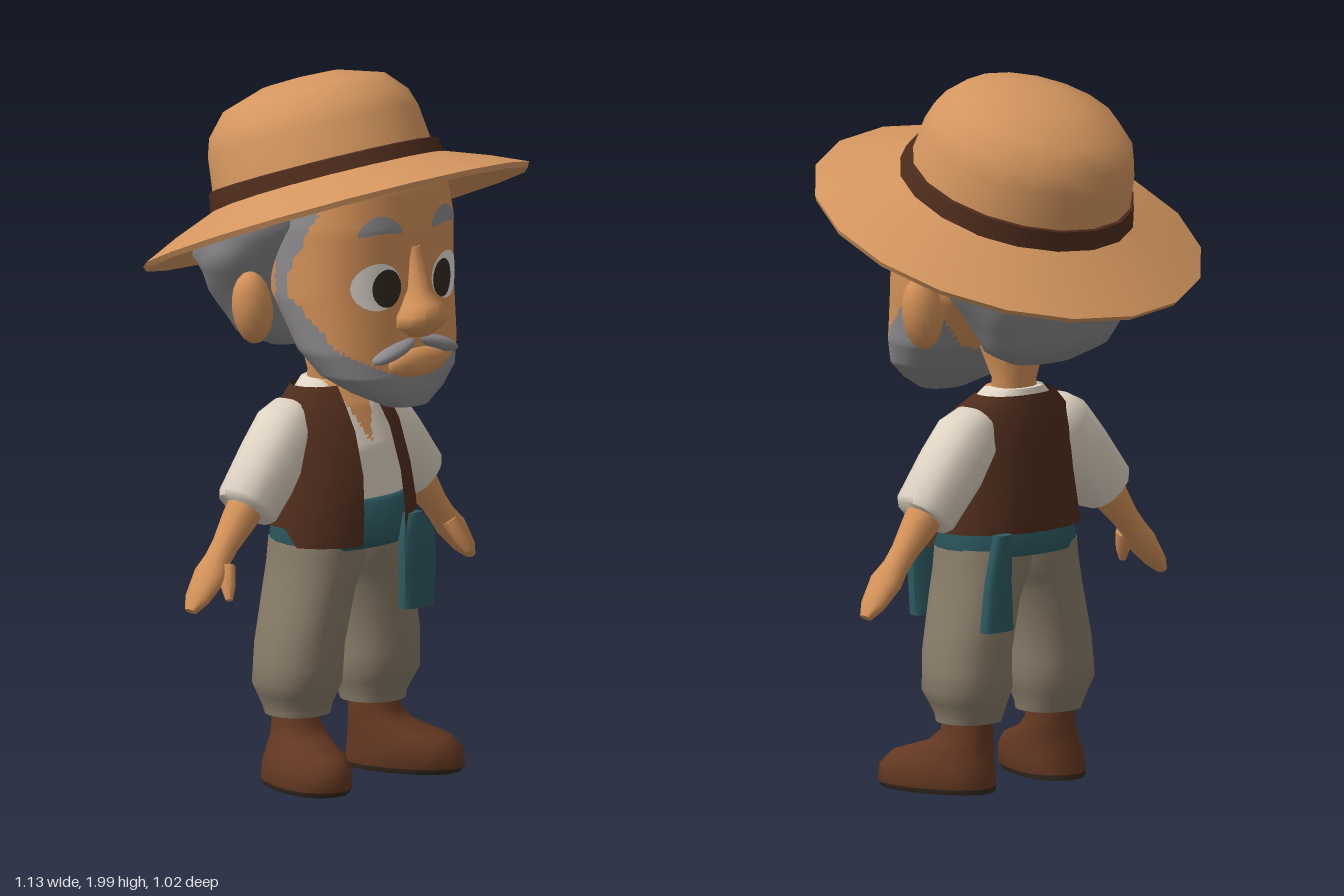
import * as THREE from 'three';
import { toCreasedNormals } from 'three/addons/utils/BufferGeometryUtils.js';

const mat = (name, color, side = THREE.FrontSide) => {
  const m = new THREE.MeshStandardMaterial({ color, side });
  m.name = name;
  return m;
};

// Linear blend of rings [y, halfWidth, zFront, zBack, xCentre] at height y
function ringAt(rings, y) {
  let i = 0;
  while (i < rings.length - 2 && y > rings[i + 1][0]) i++;
  const a = rings[i], b = rings[i + 1];
  const t = THREE.MathUtils.clamp((y - a[0]) / (b[0] - a[0]), 0, 1);
  return [0, 1, 2, 3, 4].map(k => (a[k] ?? 0) + ((b[k] ?? 0) - (a[k] ?? 0)) * t);
}

// Skin of rounded cross-sections stacked upwards; open = half angle left open at the front
function loft(rings, { seg = 16, sub = 1, p = 2.3, open = 0, warp = null, crease = 1 } = {}) {
  const pos = [], idx = [], rows = (rings.length - 1) * sub + 1;
  const add = v => { if (warp) warp(v); pos.push(v.x, v.y, v.z); };
  const pw = v => Math.sign(v) * Math.abs(v) ** (2 / p);
  for (let r = 0; r < rows; r++) {
    const i = Math.min(Math.floor(r / sub), rings.length - 2), f = r / sub - i;
    const [y, w, zf, zb, c] = ringAt(rings, rings[i][0] + (rings[i + 1][0] - rings[i][0]) * f);
    for (let j = 0; j <= seg; j++) {
      const t = open + (Math.PI * 2 - open * 2) * (j / seg);
      add(new THREE.Vector3(c + w * pw(Math.sin(t)), y, (zf + zb) / 2 + (zf - zb) / 2 * pw(Math.cos(t))));
    }
  }
  const n = seg + 1;
  for (let r = 0; r < rows - 1; r++) for (let j = 0; j < seg; j++) {
    const a = r * n + j;
    idx.push(a, a + 1, a + n + 1, a, a + n + 1, a + n);
  }
  if (!open) [0, rows - 1].forEach((r, top) => {
    const [y, , zf, zb, c] = ringAt(rings, rings[top ? rings.length - 1 : 0][0]);
    const m = pos.length / 3;
    add(new THREE.Vector3(c, y, (zf + zb) / 2));
    for (let j = 0; j < seg; j++) {
      const a = r * n + j;
      top ? idx.push(m, a, a + 1) : idx.push(m, a + 1, a);
    }
  });
  const g = new THREE.BufferGeometry();
  g.setAttribute('position', new THREE.Float32BufferAttribute(pos, 3));
  g.setIndex(idx);
  return toCreasedNormals(g, crease);
}

// Sort triangles into material groups by the rule(centre) => material index
function paint(geo, count, rule) {
  const P = geo.attributes.position, lists = Array.from({ length: count }, () => []);
  const c = new THREE.Vector3(), v = new THREE.Vector3();
  for (let i = 0; i < P.count; i += 3) {
    c.set(0, 0, 0);
    for (let k = 0; k < 3; k++) c.addScaledVector(v.fromBufferAttribute(P, i + k), 1 / 3);
    lists[rule(c)].push(i, i + 1, i + 2);
  }
  geo.setIndex(lists.flat());
  let start = 0;
  lists.forEach((l, k) => { geo.addGroup(start, l.length, k); start += l.length; });
  return geo;
}

export function createModel() {
  const skin = mat('skin', 0xd39158), straw = mat('straw', 0xd4965f), hair = mat('greyHair', 0x8c8a8c);
  const brown = mat('darkBrown', 0x4e2c1c, THREE.DoubleSide), linen = mat('linen', 0xdfd3c3);
  const teal = mat('teal', 0x2d5a61), khaki = mat('khaki', 0x897c69), leather = mat('leather', 0x643822);
  const dark = mat('dark', 0x34291f), white = mat('eyeWhite', 0xe4ddd4);
  const model = new THREE.Group();
  const mesh = (name, geo, m, parent = model) => {
    const o = new THREE.Mesh(geo, m);
    o.name = name;
    parent.add(o);
    return o;
  };
  const ball = (name, m, p, s, rz = 0) => {
    const o = mesh(name, new THREE.SphereGeometry(1, 14, 10), m);
    o.position.set(...p); o.scale.set(...s); o.rotation.z = rz;
  };

  // Head with beard and sideburns
  const headP = 2.35;
  const headRings = [[1.09, .07, .32, .22], [1.13, .15, .33, .14], [1.18, .22, .33, .07], [1.25, .255, .32, 0],
    [1.4, .275, .31, -.1], [1.6, .275, .31, -.12], [1.7, .26, .295, -.12], [1.8, .21, .24, -.1]];
  mesh('head', paint(loft(headRings, { seg: 80, sub: 9, p: headP }), 2, c => {
    if (c.z < .02) return 0;
    const beardTop = 1.18 + 1.5 * c.x * c.x + Math.max(0, .24 - c.z) * .75;
    return c.y < beardTop || (c.z < .08 + Math.max(0, c.y - 1.45) * .5 && c.y > 1.3) ? 1 : 0;
  }), [skin, hair]);
  const faceZ = (x, y) => {
    const [, w, zf, zb] = ringAt(headRings, y);
    return (zf + zb) / 2 + (zf - zb) / 2 * Math.max(0, 1 - Math.abs(x / w) ** headP) ** (1 / headP);
  };
  // Thin plate following the face
  const decal = (name, m, cx, cy, rx, ry, lift, arch = 0) => {
    const g = new THREE.RingGeometry(0, 1, 20, 4), P = g.attributes.position;
    for (let i = 0; i < P.count; i++) {
      const u = P.getX(i), x = cx + rx * u, y = cy + ry * P.getY(i) - arch * u * u;
      P.setXYZ(i, x, y, faceZ(x, y) + lift);
    }
    g.computeVertexNormals();
    mesh(name, g, m);
  };
  for (const s of [1, -1]) {
    decal('eye', white, s * .135, 1.44, .074, .067, .004);
    decal('pupil', dark, s * .11, 1.435, .046, .054, .008);
    decal('eyebrow', hair, s * .125, 1.615, .068, .025, .007, .025);
    ball('ear', skin, [s * .328, 1.37, -.003], [.06, .104, .055], -s * .15);
    ball('moustache', hair, [s * .085, 1.255, .305], [.085, .022, .036], -s * .3);
  }
  ball('lip', skin, [0, 1.213, .312], [.115, .044, .036]);
  mesh('nose', loft([[1.29, .035, .35, .26], [1.32, .08, .385, .25], [1.35, .08, .4, .25], [1.385, .055, .39, .25],
    [1.42, .034, .35, .25], [1.54, .024, .318, .25]], { seg: 12 }), skin);
  mesh('neck', loft([[1.03, .075, .05, -.08], [1.15, .065, .03, -.075], [1.32, .13, .08, -.1]]), skin);

  // Bumpy hair around the back of the head, pressed flat under the hat
  mesh('hair', loft([[1.215, .11, -.09, -.19], [1.26, .21, -.06, -.255], [1.38, .29, -.01, -.31],
    [1.48, .35, .06, -.33], [1.6, .365, .15, -.31], [1.7, .32, .18, -.25]], {
    seg: 32, sub: 3, warp: v => {
      const k = 1 + .025 * Math.sin(v.x * 34 + v.y * 27) * Math.cos(v.z * 31 - v.y * 22);
      v.x *= k; v.z *= k;
      v.y = Math.min(v.y, 1.637 + v.z * .354);
    } }), hair);

  // Tilted hat
  const hat = new THREE.Group();
  hat.name = 'hat';
  hat.position.set(0, 1.67, -.03);
  hat.rotation.x = -.34;
  model.add(hat);
  const lathe = (name, pts, m) =>
    mesh(name, toCreasedNormals(new THREE.LatheGeometry(pts.map(q => new THREE.Vector2(...q)), 18), .9), m, hat);
  const brim = lathe('brim', [[.2, -.01], [.33, -.02], [.45, -.065], [.541, -.105], [.548, -.09], [.45, -.045], [.32, .005]], straw);
  brim.scale.x = 1.035;
  brim.rotation.x = -.03;
  const crown = lathe('crown', [[.325, -.01], [.312, .06], [.302, .15], [.286, .2], [.232, .26], [.11, .298], [0, .304]], straw);
  crown.position.z = -.006;
  lathe('hatBand', [[.338, -.005], [.328, .05], [.3, .056]], brown);

  // Shirt with open neck, waistcoat and sash
  mesh('shirt', paint(loft([[.7, .18, .16, -.12], [.8, .19, .165, -.12], [.95, .175, .145, -.12],
    [1.06, .16, .095, -.11], [1.13, .085, .045, -.09]], { seg: 96, sub: 10 }), 2,
    c => (c.z > 0 && c.y > .955 + Math.abs(c.x) * 2.4 ? 1 : 0)), [linen, skin]);
  mesh('waistcoat', loft([[.685, .235, .198, -.15], [.78, .225, .198, -.15], [.88, .207, .188, -.143],
    [1, .19, .15, -.135], [1.07, .175, .105, -.12], [1.115, .125, .055, -.105]],
    { seg: 28, p: 2.2, open: .33, warp: v => { if (v.y < .75 && v.z < .05) v.y += .05; } }), brown);
  mesh('sash', loft([[.67, .205, .165, -.14], [.69, .213, .178, -.145], [.8, .2, .178, -.135], [.81, .19, .165, -.125]],
    { seg: 24 }), teal);
  mesh('frontSashTail', loft([[.48, .058, .195, .14, .15], [.6, .064, .2, .15, .147], [.7, .062, .2, .15, .142],
    [.75, .03, .19, .15, .13]], { seg: 10, p: 3 }), teal);
  mesh('backSashTail', loft([[.47, .055, -.105, -.155, .165], [.6, .045, -.11, -.15, .16], [.74, .03, -.12, -.155, .15]],
    { seg: 10, p: 3 }), teal);

  for (const s of [1, -1]) {
    // Trouser legs, overlapping at the seat
    mesh('trouserLeg', loft([[.2, .09, .085, -.085, .15], [.225, .095, .09, -.095, .15], [.29, .122, .122, -.118, .155],
      [.4, .116, .132, -.118, .15], [.55, .114, .142, -.12, .118], [.62, .127, .147, -.123, .092], [.69, .13, .15, -.125, .08]]
      .map(r => [...r.slice(0, 4), r[4] * s]), { seg: 20, sub: 2 }), khaki);

    // Boot with dark sole, toe turned outwards
    const boot = mesh('boot', paint(loft([[.005, .095, .24, -.1, .015], [.02, .102, .25, -.1, .015], [.07, .1, .245, -.095, .012],
      [.105, .09, .21, -.09, .008], [.14, .075, .1, -.085, 0], [.175, .066, .06, -.085, 0], [.23, .064, .06, -.08, 0]]
      .map(r => [...r.slice(0, 4), r[4] * s])), 2, c => (c.y < .018 ? 1 : 0)), [leather, dark]);
    boot.position.set(s * .16, 0, .012);
    boot.rotation.y = s * .32;

    // Arm hanging outwards from the shoulder
    const arm = new THREE.Group();
    arm.name = 'arm';
    arm.position.set(s * .17, 1, -.02);
    arm.rotation.z = s * .7;
    model.add(arm);
    mesh('sleeve', loft([[-.265, .078, .075, -.075], [-.25, .088, .085, -.082], [-.1, .096, .088, -.085],
      [0, .095, .085, -.085], [.06, .068, .06, -.065], [.085, .02, .02, -.025]], { seg: 14 }), linen, arm);
    mesh('forearmAndHand', loft([[-.6, .012, .02, -.02], [-.56, .024, .04, -.04], [-.48, .036, .052, -.05],
      [-.43, .034, .035, -.04], [-.38, .036, .035, -.04], [-.3, .048, .045, -.05], [-.22, .055, .052, -.055]],
      { seg: 12 }), skin, arm);
    const thumb = mesh('thumb', loft([[-.1, .01, .01, -.01], [-.06, .02, .02, -.02], [0, .022, .025, -.025]], { seg: 8 }), skin, arm);
    thumb.position.set(-s * .012, -.44, .03);
    thumb.rotation.set(-.45, 0, -s * .3);
  }
  return model;
}
